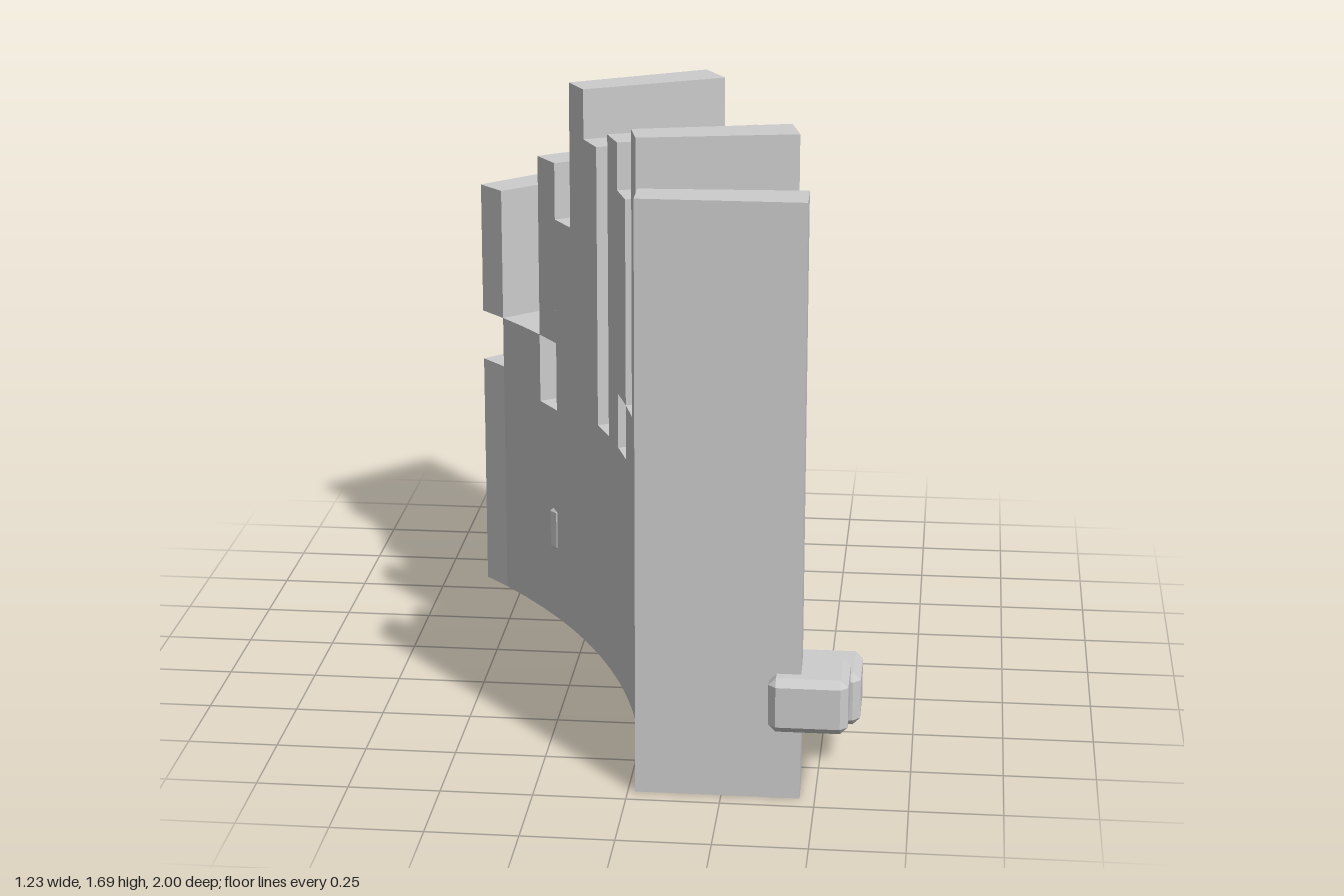
import * as THREE from 'three';
import { ConvexGeometry } from 'three/addons/geometries/ConvexGeometry.js';

const CX = -2.17, CZ = 0.95;      // centre of the wall's arc
const R_IN = 2.19, R_OUT = 2.63;
const SEGMENTS = 16, ARC = Math.PI / 4;

// Solid height spans of each wall segment, from the front end to the back end
const SPANS = [
  [[0, 1.63]], [[0, 1.05]], [[0, 1.46]], [[0, 1.17]],
  [[0, 1.69]], [[0, 0.88]], [[0, 0.72], [0.88, 1.47]], [[0, 1.605]],
  [[0, 0.72]], [[0, 1.545]], [[0, 1.69]], [[0, 1.26]],
  [[0, 0.67], [0.88, 1.43]], [[0, 0.88]], [[0, 0.88]], [[0, 0.725], [0.88, 1.28]],
];

// Parts of the spans in a that no span in b covers
function exposed(a, b) {
  let left = a;
  for (const [lo, hi] of b) {
    left = left.flatMap(([y0, y1]) =>
      [[y0, Math.min(y1, lo)], [Math.max(y0, hi), y1]].filter(([p, q]) => q > p));
  }
  return left;
}

function wallGeometry() {
  const positions = [];
  const point = (i, r, y) => {
    const t = (i / SEGMENTS) * ARC;
    return [CX + r * Math.cos(t), y, CZ - r * Math.sin(t)];
  };
  // corners run counter-clockwise seen from outside
  const quad = (a, b, c, d) => positions.push(...a, ...b, ...c, ...a, ...c, ...d);

  SPANS.forEach((spans, i) => {
    const j = i + 1;
    for (const [y0, y1] of spans) {
      // outer and inner faces
      quad(point(i, R_OUT, y0), point(j, R_OUT, y0), point(j, R_OUT, y1), point(i, R_OUT, y1));
      quad(point(j, R_IN, y0), point(i, R_IN, y0), point(i, R_IN, y1), point(j, R_IN, y1));
      // top and bottom
      quad(point(i, R_IN, y1), point(i, R_OUT, y1), point(j, R_OUT, y1), point(j, R_IN, y1));
      quad(point(j, R_IN, y0), point(j, R_OUT, y0), point(i, R_OUT, y0), point(i, R_IN, y0));
    }
    // end faces, only where the neighbouring segment leaves them open
    for (const [y0, y1] of exposed(spans, SPANS[i - 1] ?? [])) {
      quad(point(i, R_IN, y0), point(i, R_OUT, y0), point(i, R_OUT, y1), point(i, R_IN, y1));
    }
    for (const [y0, y1] of exposed(spans, SPANS[i + 1] ?? [])) {
      quad(point(j, R_OUT, y0), point(j, R_IN, y0), point(j, R_IN, y1), point(j, R_OUT, y1));
    }
  });

  const geometry = new THREE.BufferGeometry();
  geometry.setAttribute('position', new THREE.Float32BufferAttribute(positions, 3));
  geometry.computeVertexNormals();
  return geometry;
}

// Box with every edge chamfered
function stoneGeometry(w, h, d, bevel = 0.02) {
  const points = [];
  for (const sx of [-1, 1]) for (const sy of [-1, 1]) for (const sz of [-1, 1]) {
    for (let full = 0; full < 3; full++) {
      const [x, y, z] = [w, h, d].map((s, k) => s / 2 - (k === full ? 0 : bevel));
      points.push(new THREE.Vector3(sx * x, sy * y, sz * z));
    }
  }
  return new ConvexGeometry(points);
}

export function createModel() {
  const model = new THREE.Group();
  model.name = 'ruinedWall';
  const stone = new THREE.MeshStandardMaterial({ color: 0xcccccc });
  stone.name = 'pale grey stone';

  const wall = new THREE.Mesh(wallGeometry(), stone);
  wall.name = 'curvedWall';
  model.add(wall);

  // Loose stones: centre, then size
  const rubble = new THREE.Group();
  rubble.name = 'rubble';
  [
    [0.48, 0.28, 0.902, 0.21, 0.152, 0.196],
    [0.51, 0.208, 0.673, 0.2, 0.15, 0.194],
    [-0.222, 0.079, -0.904, 0.335, 0.15, 0.192],
    [0.27, 0.236, -0.375, 0.175, 0.15, 0.195],
    [-0.275, 0.285, -0.367, 0.2, 0.152, 0.194],
  ].forEach(([x, y, z, w, h, d], i) => {
    const mesh = new THREE.Mesh(stoneGeometry(w, h, d), stone);
    mesh.name = `looseStone${i + 1}`;
    mesh.position.set(x, y, z);
    rubble.add(mesh);
  });
  model.add(rubble);
  return model;
}
